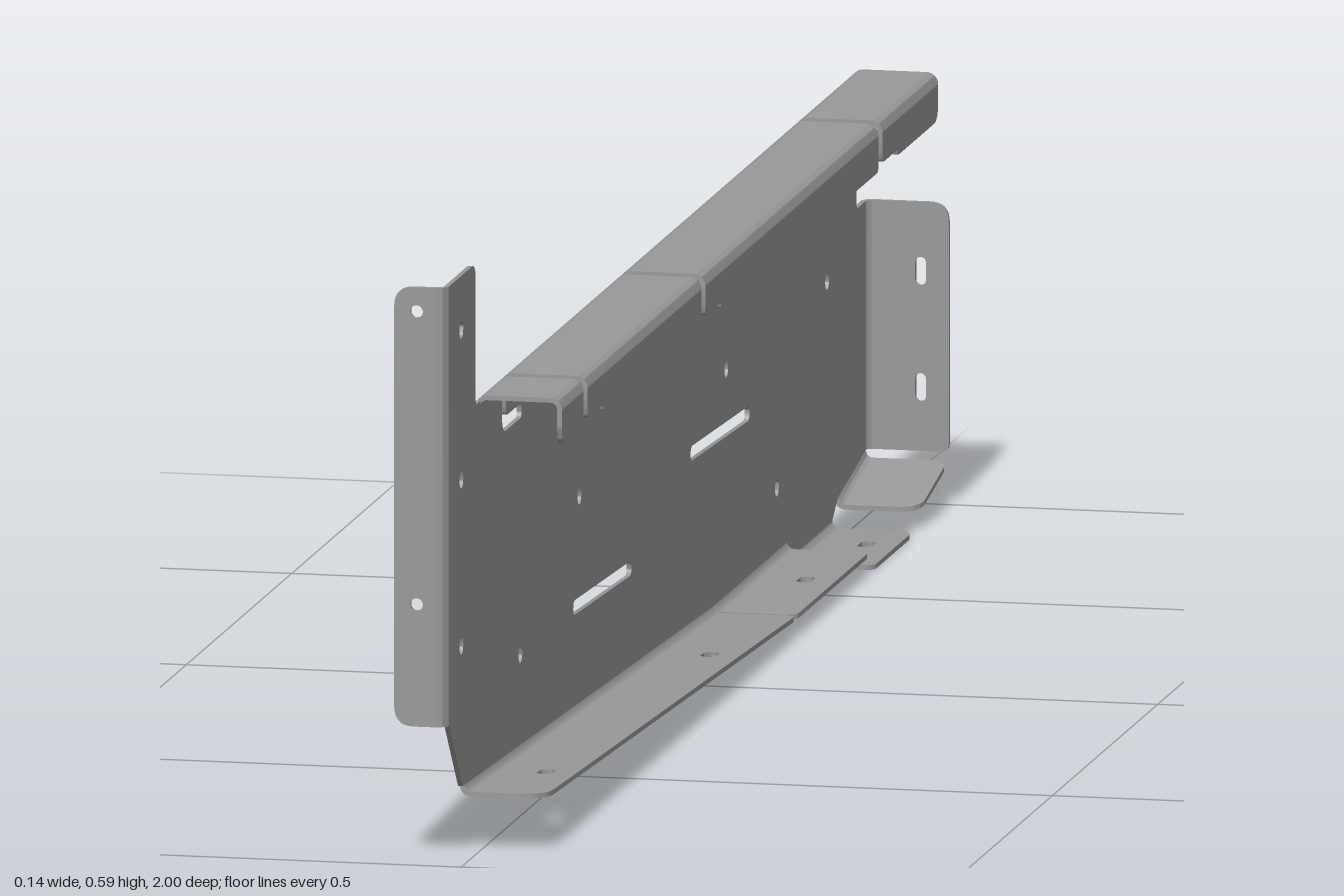
import * as THREE from 'three';
import { toCreasedNormals } from 'three/addons/utils/BufferGeometryUtils.js';

const T = 0.005;               // sheet thickness
const R = 0.012;               // outer bend radius
const XL = -0.02, XR = 0.069;  // wall outer face, flange outer edge
const TOP = 0.453;
const V = (x, y, z) => new THREE.Vector3(x, y, z);

// Closed outline from [x, y, cornerRadius] points
function outline(points) {
  const s = new THREE.Shape();
  const n = points.length;
  points.forEach(([x, y, r = 0], i) => {
    const p = new THREE.Vector2(x, y);
    const toward = (q) => new THREE.Vector2(q[0], q[1]).sub(p).setLength(r).add(p);
    const a = r ? toward(points[(i + n - 1) % n]) : p;
    if (i === 0) s.moveTo(a.x, a.y); else s.lineTo(a.x, a.y);
    if (r) {
      const b = toward(points[(i + 1) % n]);
      s.quadraticCurveTo(x, y, b.x, b.y);
    }
  });
  s.closePath();
  return s;
}

// Round hole (length 0) or round-ended slot
function slot(x, y, length, width, angle = 0) {
  const p = new THREE.Path();
  const dx = Math.cos(angle) * length / 2, dy = Math.sin(angle) * length / 2;
  p.absarc(x + dx, y + dy, width / 2, angle - Math.PI / 2, angle + Math.PI / 2, false);
  p.absarc(x - dx, y - dy, width / 2, angle + Math.PI / 2, angle + Math.PI * 1.5, false);
  p.closePath();
  return p;
}

// Quarter-ring cross-section of a bend
function bendShape() {
  const s = new THREE.Shape();
  s.absarc(0, 0, R, 0, Math.PI / 2, false);
  s.absarc(0, 0, R - T, Math.PI / 2, 0, true);
  s.closePath();
  return s;
}

export function createModel() {
  const group = new THREE.Group();
  group.name = 'sheetMetalBracket';
  const material = new THREE.MeshStandardMaterial({ color: 0x999999 });

  // Extrude a shape about its middle; u and v are the directions of its axes
  function add(name, shape, depth, u, v, origin, shear) {
    let geo = new THREE.ExtrudeGeometry(shape, { depth, bevelEnabled: false, curveSegments: 8 });
    geo.translate(0, 0, -depth / 2);
    const m = new THREE.Matrix4().makeBasis(u, v, u.clone().cross(v)).setPosition(origin);
    geo.applyMatrix4(m);
    if (shear) geo.applyMatrix4(shear);
    geo = toCreasedNormals(geo, 0.6);
    const mesh = new THREE.Mesh(geo, material);
    mesh.name = name;
    group.add(mesh);
  }
  const X = V(1, 0, 0), Y = V(0, 1, 0), Z = V(0, 0, 1);
  const NX = V(-1, 0, 0), NY = V(0, -1, 0), NZ = V(0, 0, -1);

  // Main wall, drawn as (z, y), with hooked slits along its top edge
  const yTop = TOP - R;
  const slits = [0.728, 0.169, -0.671];
  const pts = [[0.988, 0.142], [0.988, 0.592], [0.862, 0.592, 0.018], [0.862, yTop + 0.006, 0.005],
    [0.84, yTop + 0.006], [0.84, yTop]];
  for (const c of slits) {
    pts.push([c + 0.009, yTop], [c + 0.009, 0.394, 0.018], [c - 0.083, 0.394, 0.006],
      [c - 0.083, 0.409, 0.006], [c - 0.009, 0.409, 0.008], [c - 0.009, yTop]);
  }
  pts.push([-0.945, yTop], [-0.945, 0.31, 0.006], [-0.988, 0.31], [-0.988, 0.042 + R],
    [-0.855, 0.018 + R], [-0.83, R], [-0.64, R], [-0.617, 0.018 + R],
    [-0.27, 0.018 + R], [0.923, 0.056 + R]);
  const wall = outline(pts);
  const holes = [[0.93, 0.537], [0.93, 0.383], [0.93, 0.213], [0.65, 0.152], [0.37, 0.262],
    [-0.327, 0.262], [-0.567, 0.095], [-0.805, 0.262]];
  for (const [z, y] of holes) wall.holes.push(slot(z, y, 0, 0.018));
  wall.holes.push(slot(0.261, 0.147, 0.262, 0.015, 0.035), slot(-0.297, 0.201, 0.265, 0.015, 0.035));
  add('mainWall', wall, T, Z, Y, V(XL + T / 2, 0, 0));

  // Top channel in four lengths, each with two bends and a hanging lip
  const ends = [0.84, ...slits.flatMap((c) => [c + 0.009, c - 0.009]), -0.945];
  for (let i = 0; i < ends.length; i += 2) {
    const a = ends[i], b = ends[i + 1], len = a - b, mid = (a + b) / 2;
    add('topBend', bendShape(), len, NX, Y, V(XL + R, yTop, mid));
    add('topLipBend', bendShape(), len, X, Y, V(XR - R, yTop, mid));
    add('topFlange', outline([[b, XL + R], [a, XL + R], [a, XR - R], [b, XR - R]]),
      T, Z, X, V(0, TOP - T / 2, 0));
    // Past each slit the lip is relieved above the hook
    const frontEnd = i === 0 ? [[a, 0.404, 0.02]]
      : [[a - 0.074, 0.404, 0.004], [a - 0.074, 0.41, 0.002], [a, 0.41, 0.008]];
    const rb = i === 6 ? 0.02 : 0.008;
    add('topLip', outline([[a, yTop], [b, yTop], [b, 0.404, rb], ...frontEnd]),
      T, Z, Y, V(XR - T / 2, 0, 0));
  }

  // Bottom flanges: front z, front y, back z, back y, slot z, front corner, back corner
  const bottoms = [
    [0.915, 0.056, -0.268, 0.018, 0.77, 0.035, 0.012],
    [-0.273, 0.018, -0.617, 0.018, -0.46, 0.012, 0.012],
    [-0.64, 0, -0.83, 0, -0.75, 0.012, 0.025],
    [-0.86, 0.018, -0.99, 0.042, null, 0.025, 0.02],
  ];
  bottoms.forEach(([a, ya, b, yb, hole, ra, rb], i) => {
    const slope = (ya - yb) / (a - b);
    const shear = new THREE.Matrix4().set(1, 0, 0, 0, 0, 1, slope, ya - slope * a, 0, 0, 1, 0, 0, 0, 0, 1);
    const s = outline([[b, XL + R], [a, XL + R], [a, XR, ra], [b, XR, rb]]);
    if (hole !== null) s.holes.push(slot(hole, 0.038, 0.015, 0.016));
    if (i === 0) s.holes.push(slot(-0.005, 0.038, 0.015, 0.016));
    add('bottomFlange', s, T, Z, X, V(0, T / 2, 0), shear);
    add('bottomBend', bendShape(), a - b, NX, NY, V(XL + R, R, (a + b) / 2), shear);
  });

  // Front mounting flange, turned outward
  const xf = XL + T - R;
  const front = outline([[xf, 0.142], [xf, 0.592], [-0.069, 0.592, 0.02], [-0.069, 0.142, 0.02]]);
  for (const y of [0.567, 0.267]) front.holes.push(slot(-0.046, y, 0, 0.013));
  add('frontFlange', front, T, X, Y, V(0, 0, 1 - T / 2));
  add('frontBend', bendShape(), 0.45, X, Z, V(xf, 0.367, 1 - R));

  // Rear mounting flange, turned inward
  const xb = XL + R;
  const rear = outline([[xb, 0.055], [XR, 0.055, 0.008], [XR, 0.31, 0.02], [xb, 0.31]]);
  for (const y of [0.239, 0.12]) rear.holes.push(slot(0.04, y, 0.018, 0.011, Math.PI / 2));
  add('rearFlange', rear, T, X, Y, V(0, 0, -1 + T / 2));
  add('rearBend', bendShape(), 0.255, NX, NZ, V(xb, 0.1825, -1 + R));

  return group;
}
